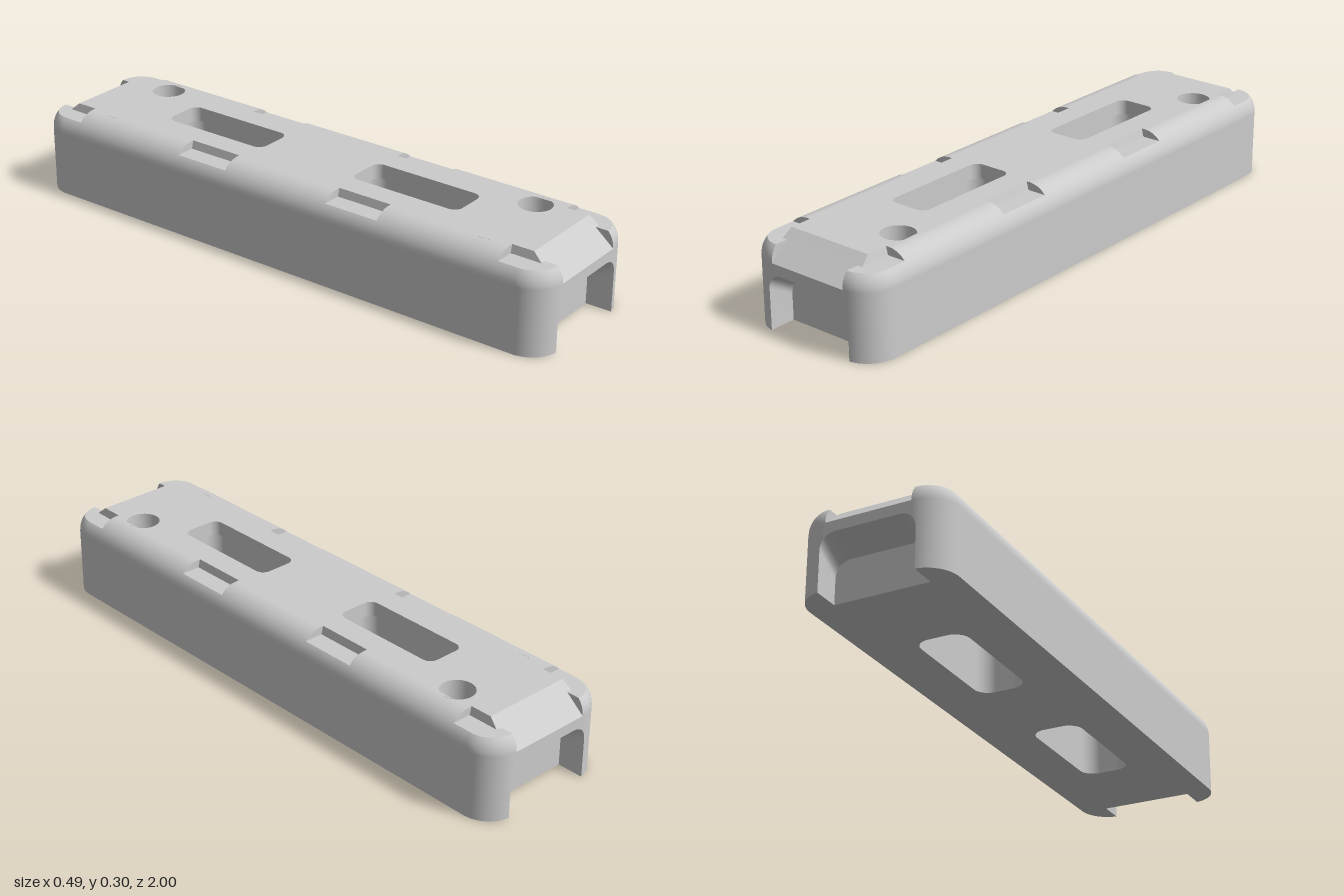
import * as THREE from 'three';

const W = 0.245, L = 1, H = 0.3, R = 0.1, F = 0.08; // half width, half length, height, corner and fillet radii
const FLOOR = 0.273, SPRING = H - F;                // notch floor height, start of the top fillet
const NOTCH = [0.2, 0.395], END = 0.83;             // side notch and end notch positions along z
const BACK = 0.91, RX = 0.158, CX = 0.142;          // recess depth, recess and chamfer half widths
const thF = Math.asin((FLOOR - SPRING) / F);
const insetF = F * (1 - Math.cos(thF));
const mat = new THREE.MeshStandardMaterial({ color: 0xcccccc, side: THREE.DoubleSide });

const mesh = (name, geo) => {
  const m = new THREE.Mesh(geo, mat);
  m.name = name;
  return m;
};

// Surface through rows of [x, y, z] points, with optional normals
function grid(rows, normals) {
  const n = rows[0].length, idx = [];
  for (let i = 0; i < rows.length - 1; i++) {
    for (let j = 0; j < n - 1; j++) {
      const a = i * n + j, c = a + n;
      idx.push(a, a + 1, c, a + 1, c + 1, c);
    }
  }
  const g = new THREE.BufferGeometry();
  g.setAttribute('position', new THREE.Float32BufferAttribute(rows.flat(2), 3));
  g.setIndex(idx);
  if (normals) g.setAttribute('normal', new THREE.Float32BufferAttribute(normals.flat(2), 3));
  else g.computeVertexNormals();
  return g;
}

const shapeOf = pts => new THREE.Shape(pts.map(p => new THREE.Vector2(p[0], p[1])));
const flat = (pts, holes = []) => {
  const s = shapeOf(pts);
  s.holes = holes;
  return new THREE.ShapeGeometry(s);
};
const faceUp = (pts, y, holes) =>
  flat(pts.map(([x, z]) => [x, -z]), holes).rotateX(-Math.PI / 2).translate(0, y, 0);

// Complete a quadrant outline to a symmetric closed ring
const ring = q => {
  const r = [...q].reverse();
  return [...q, ...r.map(([x, z]) => [-x, z]), ...q.map(([x, z]) => [-x, -z]), ...r.map(([x, z]) => [x, -z])];
};

// Perimeter stations: position and outward direction
const sideSt = z => ({ x: W, z, nx: 1, nz: 0 });
const cornerSt = a => ({
  x: W - R + R * Math.cos(a), z: L - R + R * Math.sin(a), nx: Math.cos(a), nz: Math.sin(a),
});
const endSt = x => x > W - R ? cornerSt(Math.acos((x - W + R) / R)) : { x, z: L, nx: 0, nz: 1 };

// Arched end recess
const archXs = [RX, 0.1565, 0.152, 0.145, CX, 0.133, 0.122, 0.108, 0];
const archY = x => 0.135 + Math.sqrt(Math.max(0, 0.0025 - Math.max(0, x - 0.108) ** 2));

// Angles of the fillet from its start up to a given height
function filletAngles(top) {
  const a = [0];
  if (top > SPRING) for (let i = 1; i <= 4; i++) a.push(thF * i / 4);
  if (top > FLOOR) for (let i = 1; i <= 4; i++) a.push(thF + (Math.PI / 2 - thF) * i / 4);
  return a;
}

// One stretch of the outer wall, with its part of the rounded top edge
function wall(stations, top, bottom = () => 0) {
  const angles = filletAngles(top), rows = [], normals = [];
  for (const s of stations) {
    const row = [[s.x, bottom(s.x), s.z]], nor = [[s.nx, 0, s.nz]];
    for (const t of angles) {
      const d = F * (1 - Math.cos(t));
      row.push([s.x - s.nx * d, SPRING + F * Math.sin(t), s.z - s.nz * d]);
      nor.push([s.nx * Math.cos(t), Math.sin(t), s.nz * Math.cos(t)]);
    }
    rows.push(row);
    normals.push(nor);
  }
  return grid(rows, normals);
}

const aRecess = Math.acos((RX - W + R) / R);
const cornerArc = Array.from({ length: 11 }, (_, i) => cornerSt(aRecess * i / 10));

function quadrant() {
  const g = new THREE.Group();
  const add = (name, geo) => g.add(mesh(name, geo));

  // Outer walls
  add('sideWall', wall([sideSt(0), sideSt(NOTCH[0])], H));
  add('sideWall', wall(NOTCH.map(sideSt), FLOOR));
  add('sideWall', wall([sideSt(NOTCH[1]), sideSt(END)], H));
  add('cornerWall', wall([sideSt(END), ...cornerArc], FLOOR));
  add('endWall', wall(archXs.filter(x => x >= CX).map(endSt), FLOOR, archY));
  add('endWall', wall(archXs.filter(x => x <= CX).map(endSt), SPRING, archY));

  // Notch floors and leaning inner walls
  add('notchFloor', faceUp([[0.16, NOTCH[0]], [W - insetF, NOTCH[0]], [W - insetF, NOTCH[1]], [0.16, NOTCH[1]]], FLOOR));
  add('notchWall', grid(NOTCH.map(z => [[0.16, FLOOR, z], [0.153, H, z]])));
  const rim = [...cornerArc, ...archXs.filter(x => x < RX && x >= CX).map(endSt)]
    .map(s => [s.x - s.nx * insetF, s.z - s.nz * insetF]);
  add('cornerNotchFloor', faceUp([[0.16, END], [W - insetF, END], ...rim, [CX, 0.936], [0.16, 0.936]], FLOOR));
  add('cornerNotchWall', grid([
    [[0.16, FLOOR, END], [0.153, H, END]],
    [[0.16, FLOOR, 0.936], [0.153, H, 0.905]],
  ]));

  // Notch end faces, bounded by the fillet
  const upper = filletAngles(H).slice(4).map(t => [W - F + F * Math.cos(t), SPRING + F * Math.sin(t)]);
  for (const z of [...NOTCH, END]) {
    const face = flat([[0.16, FLOOR], ...upper, [0.153, H]]);
    if (z !== NOTCH[0]) face.rotateY(Math.PI).scale(-1, 1, 1);
    add('notchEnd', face.translate(0, 0, z));
  }

  // Cheek beside the end chamfer
  const lower = filletAngles(FLOOR).map(t => [L - F + F * Math.cos(t), SPRING + F * Math.sin(t)]);
  add('chamferCheek', flat([...lower, [0.936, FLOOR]]).rotateY(-Math.PI / 2).translate(CX, 0, 0));

  // Recess lining, its ceiling sloping down towards the back
  const front = archXs.map(x => [x, archY(x), endSt(x).z]);
  const back = archXs.map(x => [x, archY(x) - 0.048, BACK]);
  add('recessLining', grid([[[RX, 0, front[0][2]], ...front], [[RX, 0, BACK], ...back]]));
  return g;
}

// Rounded rectangle path for the slots
function slotPath(w, l, r, cz) {
  const p = new THREE.Path();
  p.absarc(w - r, cz - l + r, r, -Math.PI / 2, 0);
  p.absarc(w - r, cz + l - r, r, 0, Math.PI / 2);
  p.absarc(-w + r, cz + l - r, r, Math.PI / 2, Math.PI);
  p.absarc(-w + r, cz - l + r, r, Math.PI, Math.PI * 1.5);
  p.closePath();
  return p;
}

export function createModel() {
  const model = new THREE.Group();
  model.name = 'slottedBlock';

  for (const sx of [1, -1]) for (const sz of [1, -1]) {
    const q = quadrant();
    q.name = 'bodyQuarter';
    q.scale.set(sx, 1, sz);
    model.add(q);
  }

  // Slots: a narrow lip above a wider opening
  const topHoles = [], bottomHoles = [], lip = 0.25;
  for (const cz of [0.38, -0.38]) {
    const small = slotPath(0.07, 0.2, 0.03, cz), big = slotPath(0.083, 0.212, 0.05, cz);
    topHoles.push(small);
    bottomHoles.push(big);
    const loop = (p, y) => p.getPoints(8).map(v => [v.x, y, v.y]);
    model.add(
      mesh('slotWall', grid([loop(big, 0), loop(big, lip)])),
      mesh('slotLedge', grid([loop(big, lip), loop(small, lip)])),
      mesh('slotLip', grid([loop(small, lip), loop(small, H)])),
    );
  }

  // Round blind holes
  const r = 0.055, depth = 0.1;
  for (const x of [0.117, -0.117]) for (const z of [0.74, -0.74]) {
    topHoles.push(new THREE.Path().absarc(x, z, r, 0, Math.PI * 2));
    model.add(
      mesh('holeWall', new THREE.CylinderGeometry(r, r, depth, 24, 1, true).translate(x, H - depth / 2, z)),
      mesh('holeFloor', new THREE.CircleGeometry(r, 24).rotateX(-Math.PI / 2).translate(x, H - depth, z)),
    );
  }

  // Top and bottom faces
  const [n0, n1] = NOTCH, e = W - F;
  const topEdge = [[e, n0], [0.153, n0], [0.153, n1], [e, n1], [e, END], [0.153, END], [0.153, 0.905]];
  model.add(mesh('topFace', faceUp(ring(topEdge), H, topHoles)));
  const baseEdge = [...cornerArc.map(s => [s.x, s.z]), [RX, BACK]];
  model.add(mesh('bottomFace', flat(ring(baseEdge), bottomHoles).rotateX(Math.PI / 2)));

  // Chamfer and recess back at each end
  for (const turn of [0, Math.PI]) {
    const end = new THREE.Group();
    end.name = 'endDetail';
    end.rotation.y = turn;
    const strip = (y0, z0, w0, y1, z1, w1) =>
      grid([[[w0, y0, z0], [w1, y1, z1]], [[-w0, y0, z0], [-w1, y1, z1]]]);
    end.add(
      mesh('chamferLower', strip(SPRING, L, CX, FLOOR, 0.936, CX)),
      mesh('chamferUpper', strip(FLOOR, 0.936, 0.16, H, 0.905, 0.153)),
    );
    const arch = archXs.map(x => [x, archY(x) - 0.048]);
    const mirrored = arch.slice(0, -1).reverse().map(([x, y]) => [-x, y]);
    end.add(mesh('recessBack', flat([[RX, 0], ...arch, ...mirrored, [-RX, 0]]).translate(0, 0, BACK)));
    model.add(end);
  }
  return model;
}
